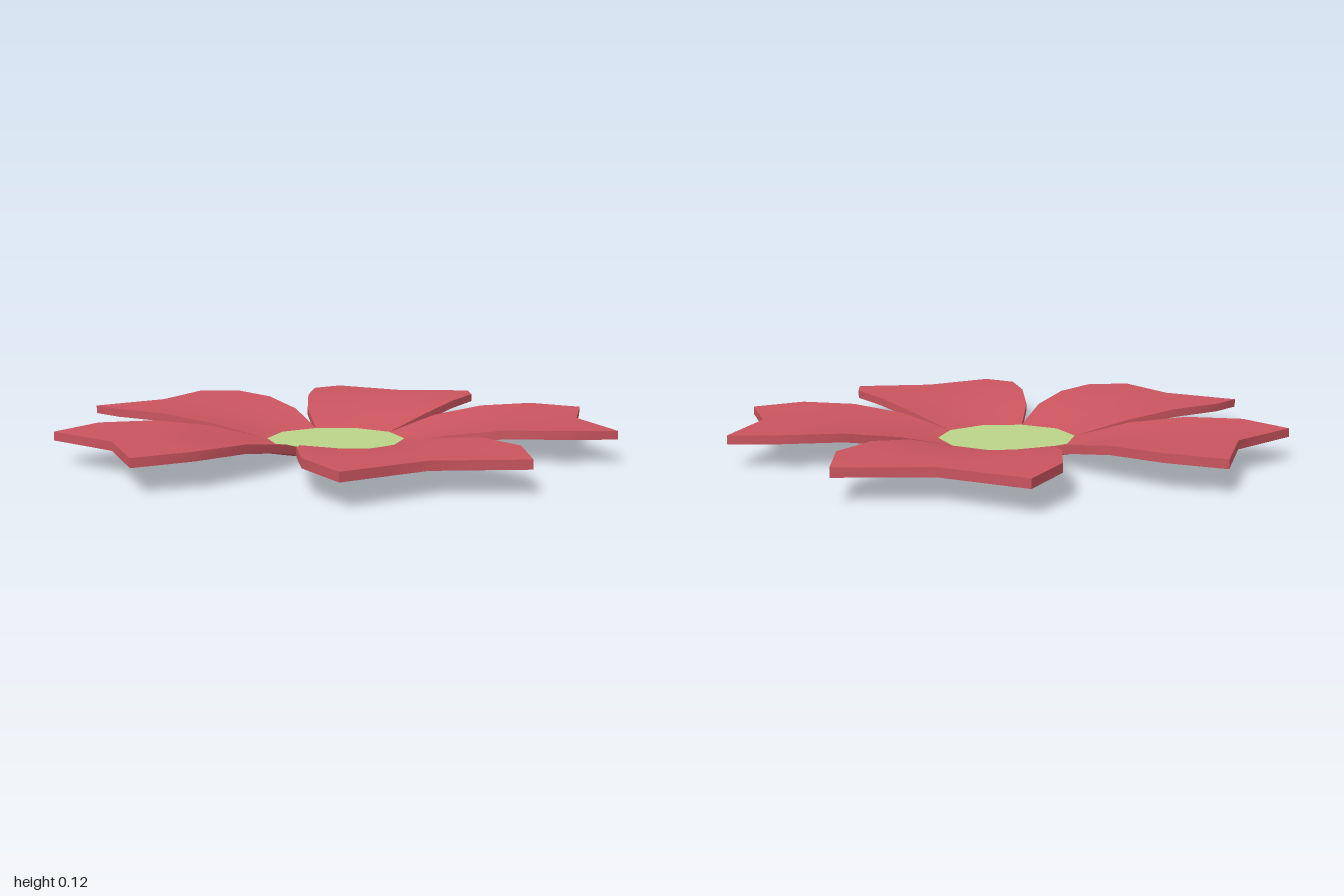
import * as THREE from 'three';
import { toCreasedNormals } from 'three/addons/utils/BufferGeometryUtils.js';

const THICKNESS = 0.03;
const COLS = 4;

// Petal cross-sections from base to tip:
// [radius at middle, radius at edge, half width, underside at middle, underside at edge]
const SECTIONS = [
  [0.25, 0.202, 0.147, 0.0, 0.0],
  [0.42, 0.38, 0.245, 0.034, 0.052],
  [0.6, 0.57, 0.31, 0.065, 0.08],
  [0.77, 0.77, 0.35, 0.073, 0.085],
  [0.878, 0.954, 0.296, 0.077, 0.077],
];

// Closed, slightly cupped petal with a notched tip, pointing to -z
function petalGeometry() {
  const positions = [];
  const index = [];
  for (const lift of [THICKNESS, 0]) {
    for (const [rMid, rEdge, half, yMid, yEdge] of SECTIONS) {
      for (let j = 0; j <= COLS; j++) {
        const u = (j / COLS) * 2 - 1;
        const r = THREE.MathUtils.lerp(rMid, rEdge, Math.abs(u));
        const y = THREE.MathUtils.lerp(yMid, yEdge, u * u);
        positions.push(u * half, y + lift, -r);
      }
    }
  }
  const rows = SECTIONS.length - 1;
  const under = SECTIONS.length * (COLS + 1);
  const id = (i, j) => i * (COLS + 1) + j;

  // Upper and lower faces
  for (let i = 0; i < rows; i++) {
    for (let j = 0; j < COLS; j++) {
      const a = id(i, j), b = id(i, j + 1), c = id(i + 1, j), d = id(i + 1, j + 1);
      index.push(a, b, c, b, d, c);
      index.push(a + under, c + under, b + under, b + under, c + under, d + under);
    }
  }

  // Rim around the outline
  const rim = (p, q) => index.push(p + under, q + under, q, p + under, q, p);
  for (let j = 0; j < COLS; j++) {
    rim(id(0, j), id(0, j + 1));
    rim(id(rows, j + 1), id(rows, j));
  }
  for (let i = 0; i < rows; i++) {
    rim(id(i, COLS), id(i + 1, COLS));
    rim(id(i + 1, 0), id(i, 0));
  }

  const geometry = new THREE.BufferGeometry();
  geometry.setAttribute('position', new THREE.Float32BufferAttribute(positions, 3));
  geometry.setIndex(index);
  return toCreasedNormals(geometry, 0.6);
}

export function createModel() {
  const flower = new THREE.Group();
  flower.name = 'flower';

  // Five petals around the centre
  const petalMaterial = new THREE.MeshStandardMaterial({ color: 0xc9545e });
  const geometry = petalGeometry();
  for (let i = 0; i < 5; i++) {
    const petal = new THREE.Mesh(geometry, petalMaterial);
    petal.name = `petal${i + 1}`;
    petal.rotation.y = (i * Math.PI * 2) / 5;
    flower.add(petal);
  }

  // Ten-sided flower centre
  const centre = new THREE.Mesh(
    new THREE.CylinderGeometry(0.251, 0.251, THICKNESS + 0.001, 10),
    new THREE.MeshStandardMaterial({ color: 0xbbd38a, flatShading: true })
  );
  centre.name = 'flowerCentre';
  centre.position.y = (THICKNESS + 0.001) / 2;
  flower.add(centre);

  return flower;
}
